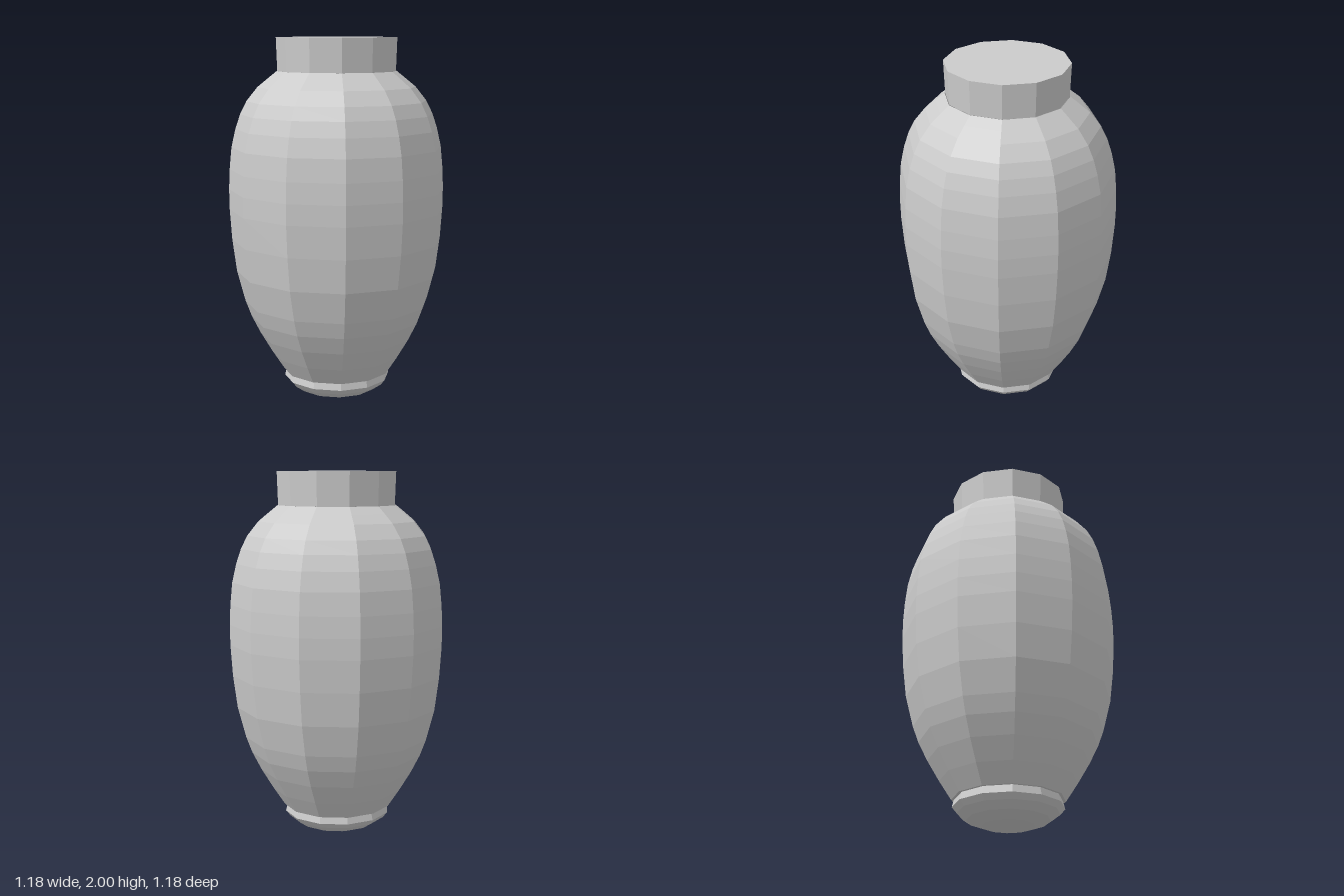
import * as THREE from 'three';

const SIDES = 12;

// Revolves a bottom-to-top [radius, height] profile into a faceted shell
function turned(name, profile, material) {
  const points = profile.map(([r, y]) => new THREE.Vector2(r, y));
  const mesh = new THREE.Mesh(new THREE.LatheGeometry(points, SIDES), material);
  mesh.name = name;
  return mesh;
}

// Flat twelve-sided disc facing up or down
function disc(name, radius, y, facing, material) {
  const geometry = new THREE.CircleGeometry(radius, SIDES);
  geometry.rotateX(-facing * Math.PI / 2);
  const mesh = new THREE.Mesh(geometry, material);
  mesh.position.y = y;
  mesh.name = name;
  return mesh;
}

export function createModel() {
  const model = new THREE.Group();
  model.name = 'vase';
  const material = new THREE.MeshStandardMaterial({
    color: 0xcccccc, flatShading: true, side: THREE.DoubleSide,
  });

  // Shallow rounded foot with a narrow band above it
  model.add(turned('foot', [
    [0.05, 0], [0.14, 0.015], [0.22, 0.045], [0.27, 0.08], [0.295, 0.11], [0.285, 0.15],
  ], material));
  model.add(disc('footCentre', 0.05, 0, -1, material));

  // Tall egg-shaped body, widest above the middle
  model.add(turned('body', [
    [0.285, 0.15], [0.3, 0.15], [0.365, 0.25], [0.43, 0.36], [0.48, 0.46], [0.513, 0.55],
    [0.557, 0.72], [0.58, 0.9], [0.591, 1.07], [0.592, 1.18], [0.587, 1.29],
    [0.575, 1.41], [0.552, 1.51], [0.525, 1.59], [0.49, 1.66], [0.43, 1.735],
    [0.375, 1.78], [0.325, 1.82],
  ], material));

  // Straight neck closed by a flat top
  model.add(turned('neck', [[0.322, 1.82], [0.328, 2]], material));
  model.add(disc('top', 0.328, 2, 1, material));

  return model;
}
